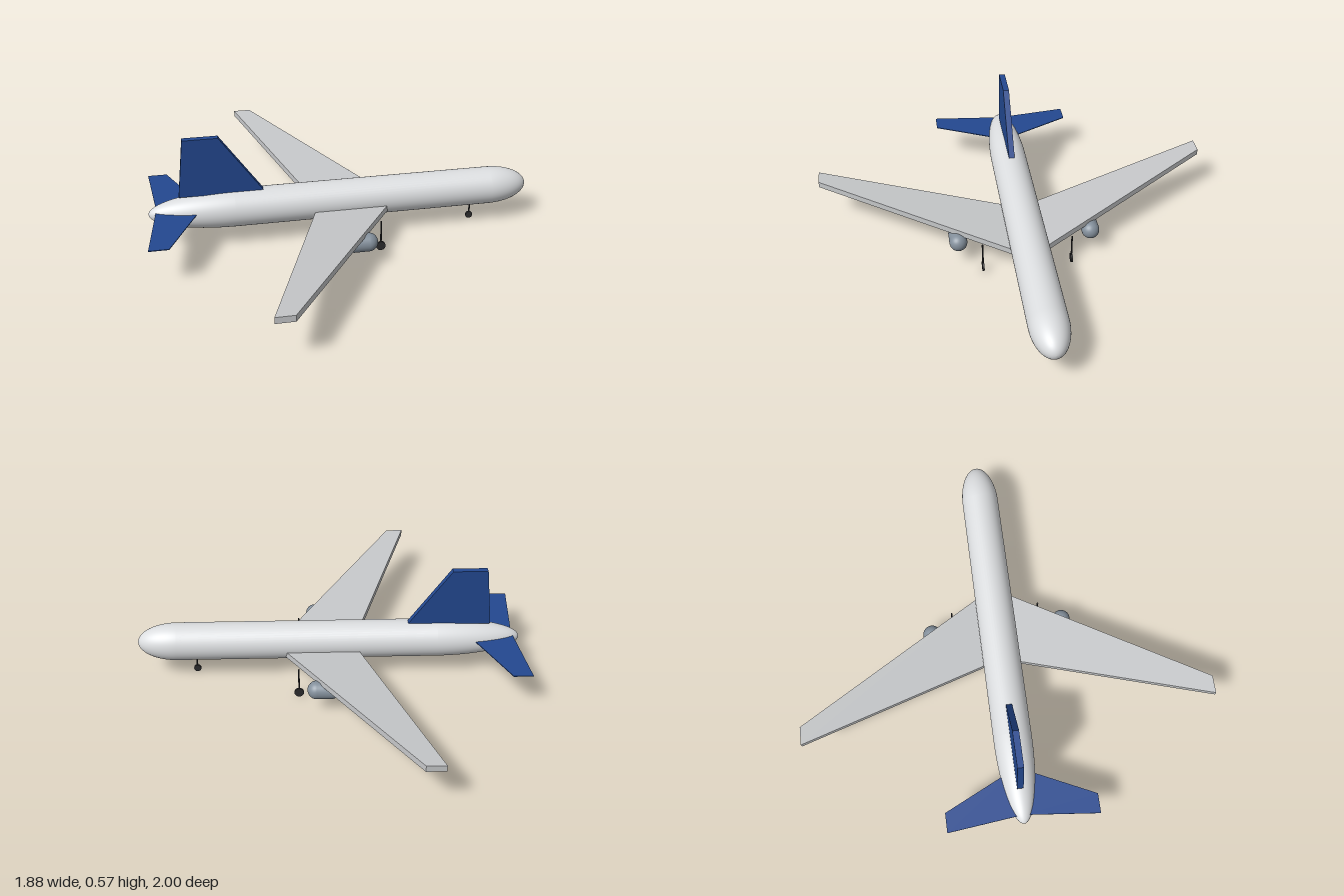
import * as THREE from 'three';

const mat = (name, color) => {
  const m = new THREE.MeshStandardMaterial({ color });
  m.name = name;
  return m;
};

export function createModel() {
  const group = new THREE.Group();
  const white = mat('bodyWhite', 0xdcdee0);
  const grey = mat('wingGrey', 0xc6c8ca);
  const blue = mat('tailBlue', 0x234890);
  const steel = mat('engineSteel', 0x84909c);
  const dark = mat('gearDark', 0x2c2c2e);

  const add = (name, geometry, material, x = 0, y = 0, z = 0) => {
    const mesh = new THREE.Mesh(geometry, material);
    mesh.name = name;
    mesh.position.set(x, y, z);
    group.add(mesh);
    return mesh;
  };
  const extrude = (points, depth) => new THREE.ExtrudeGeometry(
    new THREE.Shape(points.map(([a, b]) => new THREE.Vector2(a, b))),
    { depth, bevelEnabled: false });

  // Flat plan outline (x, z) given a thickness, rising by a slope towards the tip
  const panel = (points, side, top, thickness, slope) => {
    const g = extrude(points.map(([x, z]) => [x, z * side]), thickness);
    g.rotateX(Math.PI / 2);
    const p = g.attributes.position;
    for (let i = 0; i < p.count; i++) p.setY(i, p.getY(i) + top + slope * Math.abs(p.getZ(i)));
    g.computeVertexNormals();
    return g;
  };

  // Fuselage: long elliptical tail, straight tube, blunt nose
  const R = 0.093, axisY = 0.184, profile = [];
  for (let i = 0; i <= 16; i++) {
    const a = (i / 16) * Math.PI / 2;
    profile.push(new THREE.Vector2(R * Math.sin(a), -0.53 - 0.413 * Math.cos(a)));
  }
  for (let i = 0; i <= 16; i++) {
    const a = (i / 16) * Math.PI / 2;
    profile.push(new THREE.Vector2(R * Math.cos(a), 0.745 + 0.195 * Math.sin(a)));
  }
  add('fuselage', new THREE.LatheGeometry(profile, 48).rotateZ(-Math.PI / 2), white, 0, axisY, 0);

  // Vertical fin
  const fin = extrude([[-0.793, 0.27], [-0.385, 0.27], [-0.59, 0.567], [-0.757, 0.567]], 0.03);
  add('fin', fin, blue, 0, 0, -0.015);

  // Wheel on a thin leg
  const gear = (name, x, z, top, r) => {
    add(name + 'Wheel', new THREE.CylinderGeometry(r, r, 0.01, 24).rotateX(Math.PI / 2), dark, x, r + 0.001, z);
    add(name + 'Strut', new THREE.CylinderGeometry(0.004, 0.004, top - r, 10), dark, x, (top + r) / 2, z);
  };
  gear('noseGear', 0.66, 0, 0.1, 0.018);

  for (const side of [1, -1]) {
    const label = side > 0 ? 'left' : 'right';
    // Swept wing with dihedral
    add(label + 'Wing', panel(
      [[-0.142, 0.07], [0.219, 0.07], [-0.365, 1], [-0.452, 1]], side, 0.158, 0.031, 0.088), grey);
    // Thin tailplane
    add(label + 'Tailplane', panel(
      [[-0.905, 0], [-0.68, 0], [-0.85, 0.36], [-0.943, 0.36]], side, 0.205, 0.004, 0), blue);
    // Rounded engine pod
    add(label + 'Engine', new THREE.CapsuleGeometry(0.044, 0.07, 12, 32).rotateZ(Math.PI / 2),
      steel, 0.031, 0.122, 0.33 * side);
    gear(label + 'MainGear', 0.15, 0.22 * side, 0.16, 0.023);
  }
  return group;
}
